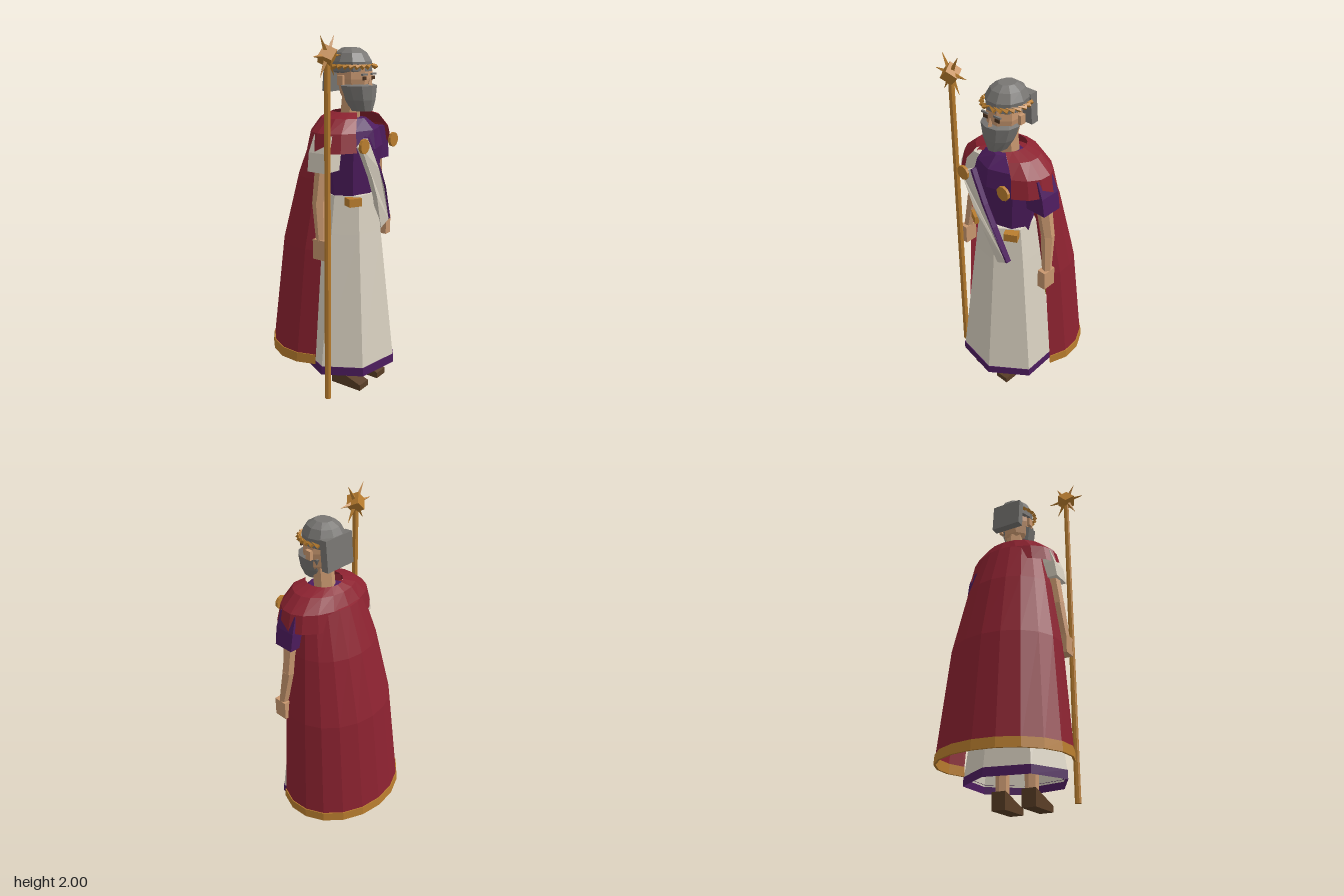
import * as THREE from 'three';

const mat = (name, color) => {
  const m = new THREE.MeshStandardMaterial({ color, flatShading: true, side: THREE.DoubleSide });
  m.name = name;
  return m;
};

// Rings are [y, rx, rz, cz, cx]; angle 0 faces the front and grows towards +x.
function loft(rings, n, from = 0, to = 360) {
  const pos = [], idx = [];
  rings.forEach(([y, rx, rz, cz, cx = 0]) => {
    for (let i = 0; i <= n; i++) {
      const a = THREE.MathUtils.degToRad(from + (to - from) * i / n);
      pos.push(cx + rx * Math.sin(a), y, cz + rz * Math.cos(a));
    }
  });
  for (let j = 0; j < rings.length - 1; j++)
    for (let i = 0; i < n; i++) {
      const a = j * (n + 1) + i, d = a + n + 1;
      idx.push(a, a + 1, d + 1, a, d + 1, d);
    }
  const g = new THREE.BufferGeometry();
  g.setAttribute('position', new THREE.Float32BufferAttribute(pos, 3));
  g.setIndex(idx);
  g.computeVertexNormals();
  return g;
}

// Tapered rod between two points
function rod(p, q, r0, r1, n = 6) {
  const a = new THREE.Vector3(...p), b = new THREE.Vector3(...q), d = b.clone().sub(a);
  const g = new THREE.CylinderGeometry(r1, r0, d.length(), n);
  g.applyQuaternion(new THREE.Quaternion().setFromUnitVectors(new THREE.Vector3(0, 1, 0), d.normalize()));
  const m = a.add(b).multiplyScalar(0.5);
  return g.translate(m.x, m.y, m.z);
}

const box = (w, h, d, x, y, z) => new THREE.BoxGeometry(w, h, d).translate(x, y, z);

// Flat cloth strip along a path, between two sideways offsets
function strip(path, o0, o1, lift, thick) {
  const s = new THREE.Shape();
  const nx = 0.88, ny = 0.47;
  const pts = path.map(p => [p[0] + nx * o0, p[1] + ny * o0])
    .concat(path.map(p => [p[0] + nx * o1, p[1] + ny * o1]).reverse());
  pts.forEach(([x, y], i) => (i ? s.lineTo(x, y) : s.moveTo(x, y)));
  const g = new THREE.ExtrudeGeometry(s, { depth: thick, bevelEnabled: false });
  // Bow the strip over the chest and belly
  const v = g.attributes.position;
  for (let i = 0; i < v.count; i++) {
    const t = (v.getY(i) - 1.25) / 0.28;
    v.setZ(i, v.getZ(i) + lift - 0.022 * t * t);
  }
  g.computeVertexNormals();
  return g;
}

export function createModel() {
  const red = mat('cape red', 0x8c2230), purple = mat('purple cloth', 0x4d1c5e);
  const cream = mat('cream cloth', 0xd8d0c0), gold = mat('gold', 0xb97d2e);
  const skin = mat('skin', 0xc8976f), grey = mat('grey hair', 0x787673);
  const brown = mat('boot leather', 0x5a3e26), dark = mat('dark eyes', 0x4a3220);

  const model = new THREE.Group();
  const body = new THREE.Group();
  body.name = 'figure';
  body.position.x = 0.027;
  model.add(body);
  const add = (name, geo, m, parent = body) => {
    const mesh = new THREE.Mesh(geo, m);
    mesh.name = name;
    parent.add(mesh);
    return mesh;
  };

  // Seven-sided robe skirt with a purple hem
  const turn = 14.5;
  add('skirt', loft([[0.17, 0.297, 0.259, 0.1], [0.94, 0.2, 0.17, 0.1], [1.15, 0.17, 0.148, 0.1], [1.16, 0, 0, 0.1]], 7, turn, turn + 360), cream);
  add('hem', loft([[0.13, 0.3, 0.264, 0.1], [0.18, 0.299, 0.262, 0.1], [0.18, 0.29, 0.25, 0.1]], 7, turn, turn + 360), purple);

  // Tunic
  add('tunic', loft([[1.1, 0.155, 0.115, 0.1], [1.15, 0.165, 0.125, 0.1], [1.4, 0.205, 0.155, 0.1],
    [1.5, 0.17, 0.14, 0.1], [1.56, 0.07, 0.08, 0.1], [1.56, 0, 0, 0.1]], 8), purple);

  // Long open cape with a gold border
  const capeRings = [[0.22, 0.385, 0.32, -0.04], [0.87, 0.33, 0.275, -0.01], [1.25, 0.265, 0.215, 0.025],
    [1.5, 0.205, 0.165, 0.065], [1.52, 0.1, 0.1, 0.08]];
  add('cape', loft(capeRings, 12, 64, 296), red);
  add('capeBorder', loft([[0.27, 0.374, 0.308, -0.04], [0.215, 0.377, 0.312, -0.04], [0.215, 0.389, 0.324, -0.04],
    [0.27, 0.386, 0.321, -0.038], [0.27, 0.374, 0.308, -0.04]], 12, 64, 296), gold);

  // Shoulder mantle, open at the chest
  add('mantle', loft([[1.4, 0.297, 0.2, 0.09], [1.5, 0.272, 0.18, 0.09], [1.57, 0.19, 0.145, 0.09], [1.595, 0.1, 0.1, 0.09]], 14, 36, 324), red);

  // Sash with a purple stripe
  const path = [[-0.125, 1.455], [-0.1, 1.41], [-0.03, 1.28], [0.03, 1.16], [0.115, 0.96]];
  add('sash', strip(path, -0.05, 0.03, 0.255, 0.028), cream);
  add('sashStripe', strip(path, 0.03, 0.045, 0.255, 0.03), purple);

  // Brooches and belt plates
  for (const s of [-1, 1]) {
    add('brooch', new THREE.CylinderGeometry(0.04, 0.04, 0.016, 10).rotateX(Math.PI / 2).translate(s * 0.145, 1.435, 0.277), gold);
    add('beltPlate', box(0.075, 0.045, 0.06, 0, 0, 0).rotateY(s * 0.5).translate(s * 0.128, 1.122, 0.2), gold);
  }

  // Arms, legs and boots, mirrored
  for (const s of [-1, 1]) {
    const sleeve = loft([[1.3, 0, 0, 0.09, s * 0.25], [1.3, 0.085, 0.085, 0.09, s * 0.25],
      [1.4, 0.085, 0.088, 0.09, s * 0.235], [1.49, 0.08, 0.08, 0.095, s * 0.205], [1.49, 0, 0, 0.095, s * 0.205]], 4, 45, 405);
    add('sleeve', sleeve, s > 0 ? purple : cream);
    add('upperArm', rod([s * 0.245, 1.36, 0.09], [s * 0.285, 1.13, 0.085], 0.045, 0.036), skin);
    add('forearm', rod([s * 0.283, 1.14, 0.085], [s * 0.308, 0.93, 0.115], 0.038, 0.026), skin);
    add('hand', box(0.05, 0.11, 0.08, s * 0.307, 0.885, 0.118), skin);
    add('leg', rod([s * 0.09, 0.06, 0.1], [s * 0.09, 0.6, 0.1], 0.036, 0.045), skin);
    const boot = box(0.085, 0.1, 0.2, s * 0.092, 0.05, 0.16);
    const v = boot.attributes.position;
    for (let i = 0; i < v.count; i++) if (v.getY(i) > 0.05 && v.getZ(i) > 0.2) v.setY(i, 0.035);
    add('boot', boot, brown);
  }

  // Head
  const head = new THREE.Group();
  head.name = 'head';
  body.add(head);
  add('neck', rod([0, 1.53, 0.085], [0, 1.68, 0.095], 0.06, 0.056), skin, head);
  add('face', loft([[1.62, 0, 0, 0.13], [1.62, 0.045, 0.055, 0.13], [1.69, 0.08, 0.085, 0.12], [1.77, 0.097, 0.098, 0.115],
    [1.85, 0.092, 0.1, 0.11]], 8, 22.5, 382.5), skin, head);
  add('beard', loft([[1.6, 0, 0, 0.16], [1.6, 0.05, 0.065, 0.16], [1.66, 0.085, 0.085, 0.15], [1.735, 0.107, 0.1, 0.138],
    [1.745, 0.08, 0.07, 0.13]], 10, -115, 245), grey, head);
  add('hair', loft([[1.8, 0.088, 0.1, 0.095], [1.81, 0.102, 0.115, 0.095], [1.86, 0.108, 0.118, 0.092], [1.905, 0.085, 0.09, 0.09],
    [1.93, 0.045, 0.05, 0.09], [1.93, 0, 0, 0.09]], 10, 18, 378), grey, head);
  add('backHair', box(0.185, 0.17, 0.045, 0, 0, 0).rotateX(0.08).translate(0, 1.785, -0.005), grey, head);
  add('nose', new THREE.ConeGeometry(0.018, 0.055, 4).translate(0, 1.758, 0.215), skin, head);
  for (const s of [-1, 1]) {
    add('eye', box(0.03, 0.018, 0.008, s * 0.04, 1.775, 0.205), dark, head);
    add('brow', box(0.045, 0.01, 0.012, s * 0.042, 1.795, 0.206), grey, head);
    add('ear', box(0.02, 0.05, 0.035, s * 0.1, 1.765, 0.095), skin, head);
  }

  // Leaf wreath, open at the back
  const wreath = new THREE.Group();
  wreath.name = 'wreath';
  head.add(wreath);
  for (let i = 0; i < 16; i++) {
    const a = (i - 7.5) * 0.265, s = Math.sign(a);
    const leaf = new THREE.ConeGeometry(0.014, 0.05, 4).rotateZ(s * Math.PI / 2 - s * 0.35);
    leaf.rotateY(a - s * 0.25).translate(0.113 * Math.sin(a), 1.84, 0.097 + 0.122 * Math.cos(a));
    add('leaf', leaf, gold, wreath);
  }

  // Staff with a spiked head
  const staff = new THREE.Group();
  staff.name = 'staff';
  staff.position.set(-0.295, 0, 0.17);
  model.add(staff);
  add('shaft', rod([0, 0.015, 0], [0, 1.87, 0], 0.018, 0.016, 8), gold, staff);
  const knob = add('knob', new THREE.BoxGeometry(0.07, 0.07, 0.07), gold, staff);
  knob.position.y = 1.9;
  knob.rotation.set(0.45, 0.4, 0.7);
  for (let i = 0; i < 6; i++) {
    const a = i * Math.PI / 3, c = Math.cos(a), s = Math.sin(a);
    add('spike', rod([0.03 * c, 1.9 + 0.03 * s, 0], [0.115 * c, 1.9 + 0.115 * s, 0], 0.014, 0.001, 4), gold, staff);
  }
  return model;
}
